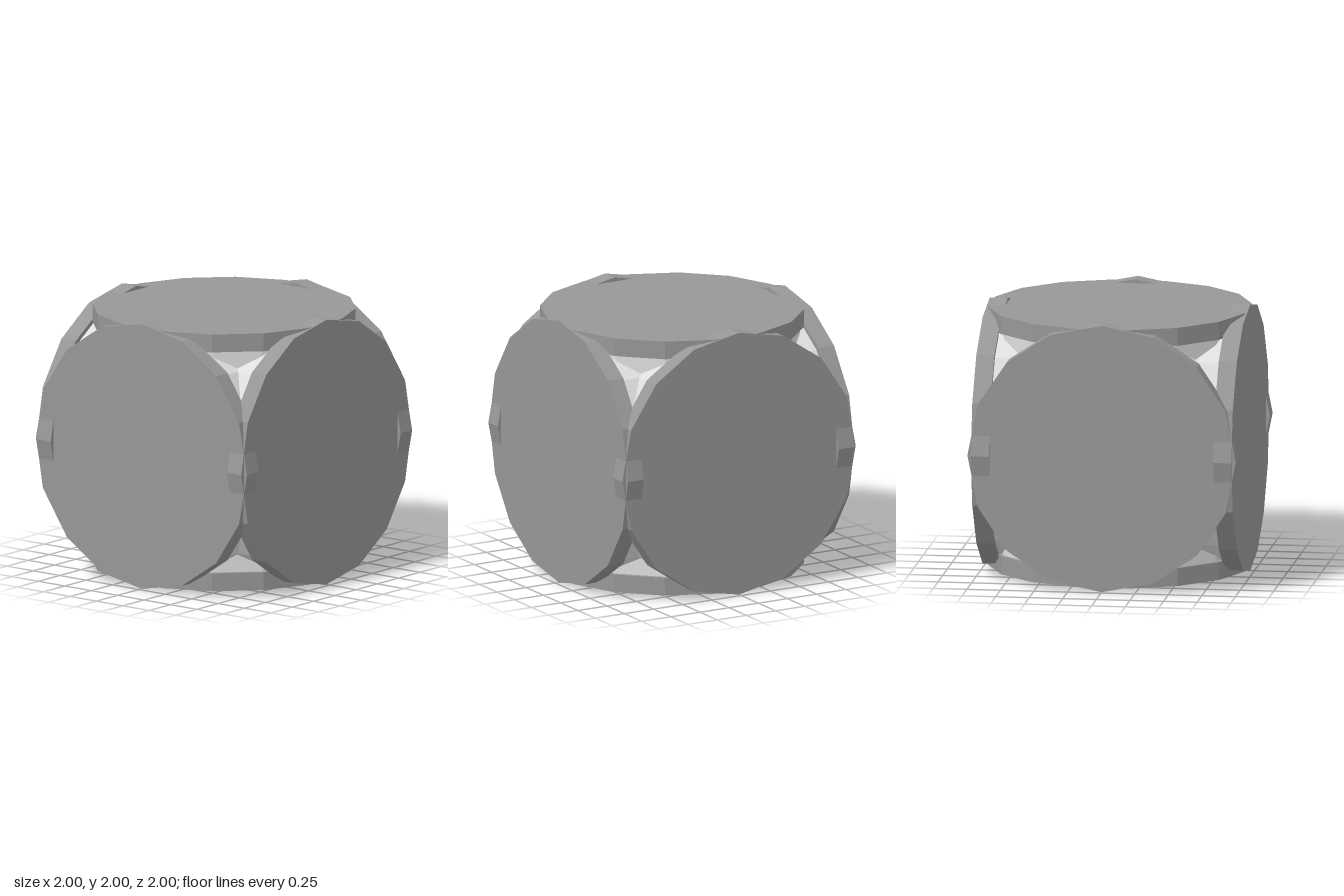
import * as THREE from 'three';

const SIDES = 16;
const FACE = 0.97;    // distance from the centre to each disc's outer face
const INNER = 0.835;  // distance from the centre to each disc's inner face

export function createModel() {
  const model = new THREE.Group();
  model.name = 'crossedDrums';

  const discGrey = new THREE.MeshStandardMaterial({ color: 0x969796, flatShading: true });
  discGrey.name = 'disc grey';
  const coreWhite = new THREE.MeshStandardMaterial({ color: 0xdededc, flatShading: true });
  coreWhite.name = 'core white';

  // Three drums cross at right angles; the upright one is smaller and turned half a facet
  const drums = [
    { name: 'side', rotation: [0, 0, -Math.PI / 2], radius: 1, core: 0.968, turn: 0 },
    { name: 'upright', rotation: [0, 0, 0], radius: 0.975, core: 0.946, turn: Math.PI / SIDES },
    { name: 'front', rotation: [Math.PI / 2, 0, 0], radius: 1, core: 0.968, turn: 0 },
  ];

  for (const { name, rotation, radius, core, turn } of drums) {
    const drum = new THREE.Group();
    drum.name = name + 'Drum';
    drum.position.y = 1;
    drum.rotation.set(...rotation);

    // Pale body between the two discs
    const body = new THREE.Mesh(
      new THREE.CylinderGeometry(core, core, 2 * INNER, SIDES, 1, true, turn), coreWhite);
    body.name = name + 'Core';
    drum.add(body);

    // Grey disc at each end
    for (const end of [1, -1]) {
      const disc = new THREE.Mesh(
        new THREE.CylinderGeometry(radius, radius, FACE - INNER, SIDES, 1, false, turn), discGrey);
      disc.name = name + (end > 0 ? 'DiscA' : 'DiscB');
      disc.position.y = end * (FACE + INNER) / 2;
      drum.add(disc);
    }
    model.add(drum);
  }
  return model;
}
